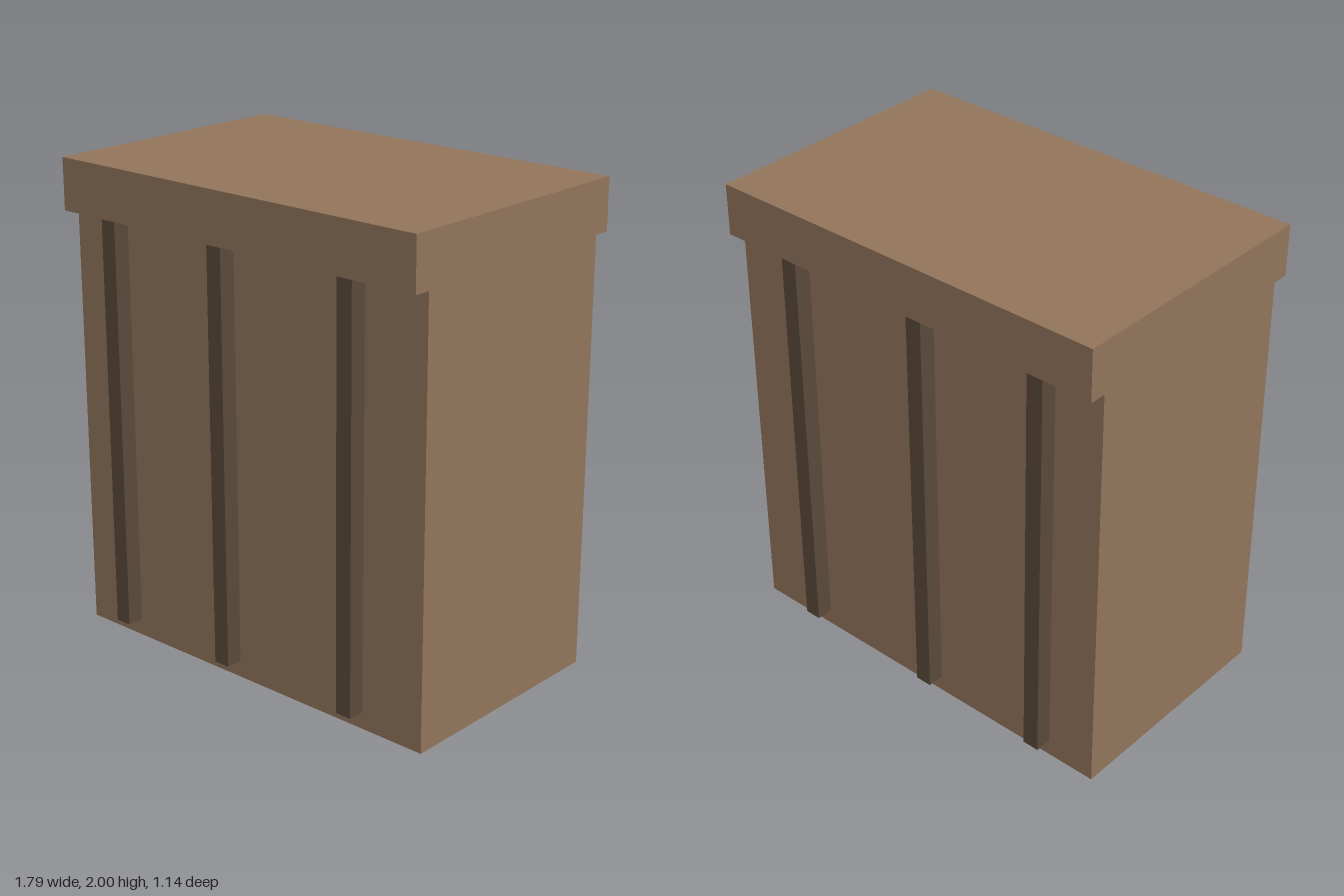
import * as THREE from 'three';

export function createModel() {
  const model = new THREE.Group();
  const brown = new THREE.MeshStandardMaterial({ color: 0x92755b });
  brown.name = 'brown';
  const darkBrown = new THREE.MeshStandardMaterial({ color: 0x5a4a3a });
  darkBrown.name = 'dark brown';

  // Box given by its size, centre and bottom height
  const box = (name, material, w, h, d, x, bottom, z) => {
    const mesh = new THREE.Mesh(new THREE.BoxGeometry(w, h, d), material);
    mesh.name = name;
    mesh.position.set(x, bottom + h / 2, z);
    model.add(mesh);
  };

  // Main block and the slab that overhangs it front and back
  box('body', brown, 1.786, 1.786, 1, 0, 0, 0);
  box('topSlab', brown, 1.786, 0.214, 1.142, 0, 1.786, 0);

  // Three upright battens on the front and three on the back
  for (const [side, name] of [[1, 'frontBatten'], [-1, 'backBatten']]) {
    for (const x of [-0.643, -0.071, 0.571]) {
      box(name, darkBrown, 0.071, 1.715, 0.071, x, 0.071, side * 0.5355);
    }
  }
  return model;
}
